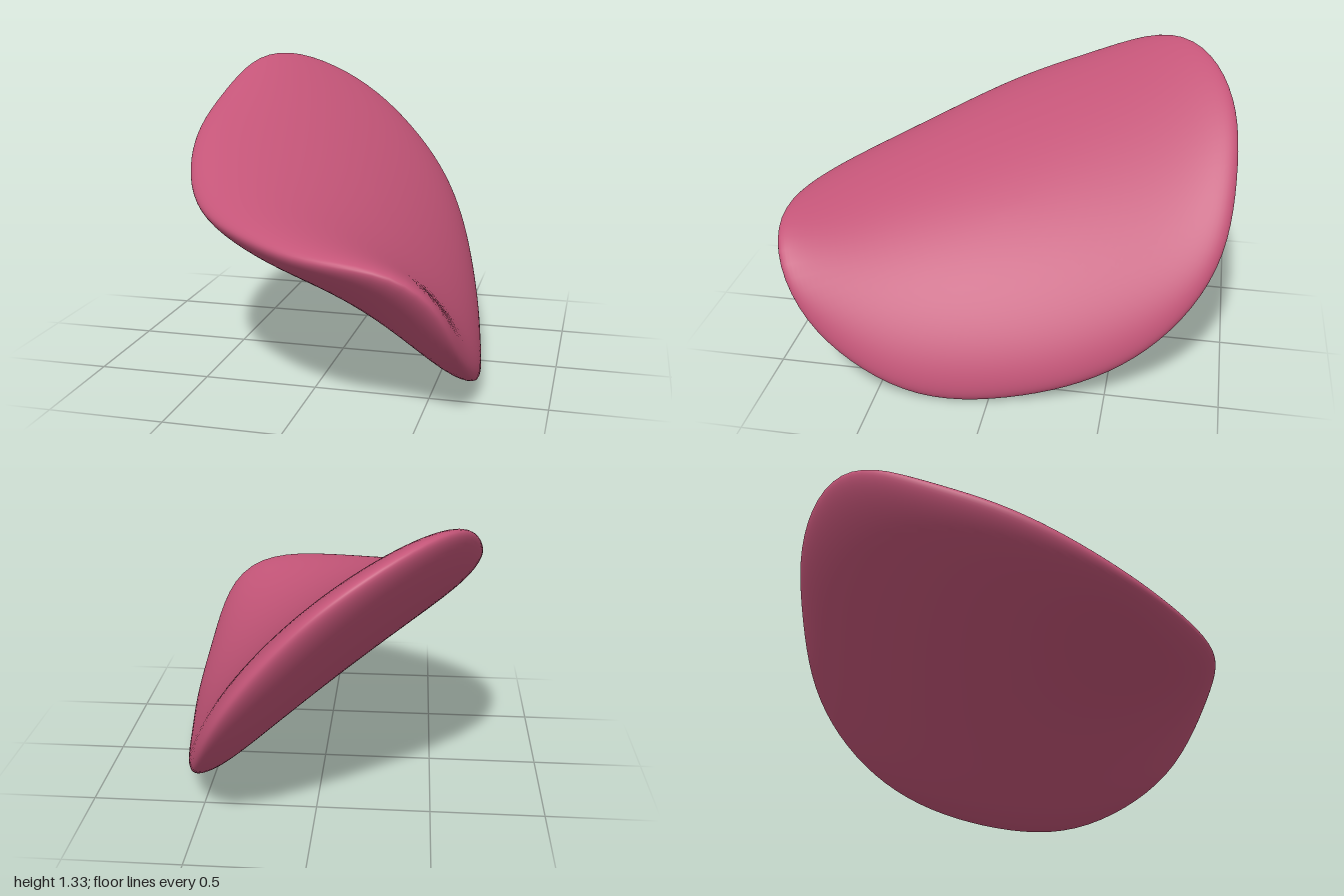
import * as THREE from 'three';

// Edge of the curved body, clockwise seen from above
const RIM = [
  [-0.69, 1.165, -0.25], [-0.555, 1.34, -0.69], [-0.25, 1.235, -0.93], [0.1, 0.95, -0.995],
  [0.36, 0.59, -0.925], [0.515, 0.22, -0.6], [0.625, 0.025, -0.02], [0.675, 0.075, 0.4],
  [0.64, 0.33, 0.78], [0.53, 0.615, 0.945], [0.27, 0.705, 0.99], [-0.05, 0.725, 0.905],
  [-0.51, 0.81, 0.53], [-0.675, 0.985, 0.15],
];
const EDGE = 0.075;  // half thickness near the rounded edge
const CROWN = 0.09;  // extra half thickness at the centre
const SAG = 0.075;   // depth of the hollow
const MODES = 10;

// Smooth middle sheet spanning the rim: every rim wave fades towards the centre
function makeSheet() {
  const curve = new THREE.CatmullRomCurve3(RIM.map(p => new THREE.Vector3(...p)), true);
  const pts = curve.getSpacedPoints(128).slice(0, 128);
  const waves = [];
  for (let n = 0; n <= MODES; n++) {
    const a = new THREE.Vector3(), b = new THREE.Vector3();
    const k = (n ? 2 : 1) / pts.length;
    pts.forEach((p, i) => {
      const t = (2 * Math.PI * n * i) / pts.length;
      a.addScaledVector(p, k * Math.cos(t));
      b.addScaledVector(p, k * Math.sin(t));
    });
    waves.push([a, b]);
  }
  return (u, v) => {
    const out = new THREE.Vector3();
    let re = 1, im = 0;
    for (const [a, b] of waves) {
      out.addScaledVector(a, re).addScaledVector(b, im);
      [re, im] = [re * u - im * v, re * v + im * u];
    }
    out.y -= SAG * (1 - u * u - v * v);
    return out;
  };
}

// Lens-thick body with a rounded edge: rows run from top centre, over the rim, to bottom centre
function bodyGeometry() {
  const sheet = makeSheet(), N = 96, H = 28, e = 1e-3;
  const pos = [], index = [];
  for (let j = 0; j <= 2 * H; j++) {
    const r = j === 0 || j === 2 * H ? 0 : Math.sin((j / H) * Math.PI / 2);
    const half = EDGE * Math.sqrt(Math.max(0, 1 - r ** 7)) + CROWN * (1 - r * r);
    const t = Math.sign(H - j) * half;
    for (let i = 0; i < N; i++) {
      const a = (2 * Math.PI * i) / N, u = r * Math.cos(a), v = r * Math.sin(a);
      const du = sheet(u + e, v).sub(sheet(u - e, v));
      const dv = sheet(u, v + e).sub(sheet(u, v - e));
      const p = sheet(u, v).addScaledVector(dv.cross(du).normalize(), t);
      pos.push(p.x, p.y, p.z);
    }
  }
  const id = (j, i) => j * N + (j === 0 || j === 2 * H ? 0 : i % N);
  for (let j = 0; j < 2 * H; j++) {
    for (let i = 0; i < N; i++) {
      const a = id(j, i), b = id(j + 1, i), c = id(j, i + 1), d = id(j + 1, i + 1);
      if (j > 0) index.push(a, c, b);
      if (j < 2 * H - 1) index.push(c, d, b);
    }
  }
  const g = new THREE.BufferGeometry();
  g.setAttribute('position', new THREE.Float32BufferAttribute(pos, 3));
  g.setIndex(index);
  g.computeVertexNormals();

  // Centre it and stand it on the ground
  g.computeBoundingBox();
  const mid = g.boundingBox.getCenter(new THREE.Vector3());
  g.translate(-mid.x, -g.boundingBox.min.y, -mid.z);
  return g;
}

export function createModel() {
  const rose = new THREE.MeshStandardMaterial({ color: 0xc45578 });
  rose.name = 'rose';
  const body = new THREE.Mesh(bodyGeometry(), rose);
  body.name = 'curvedBody';
  const group = new THREE.Group();
  group.name = 'curvedPetal';
  group.add(body);
  return group;
}
